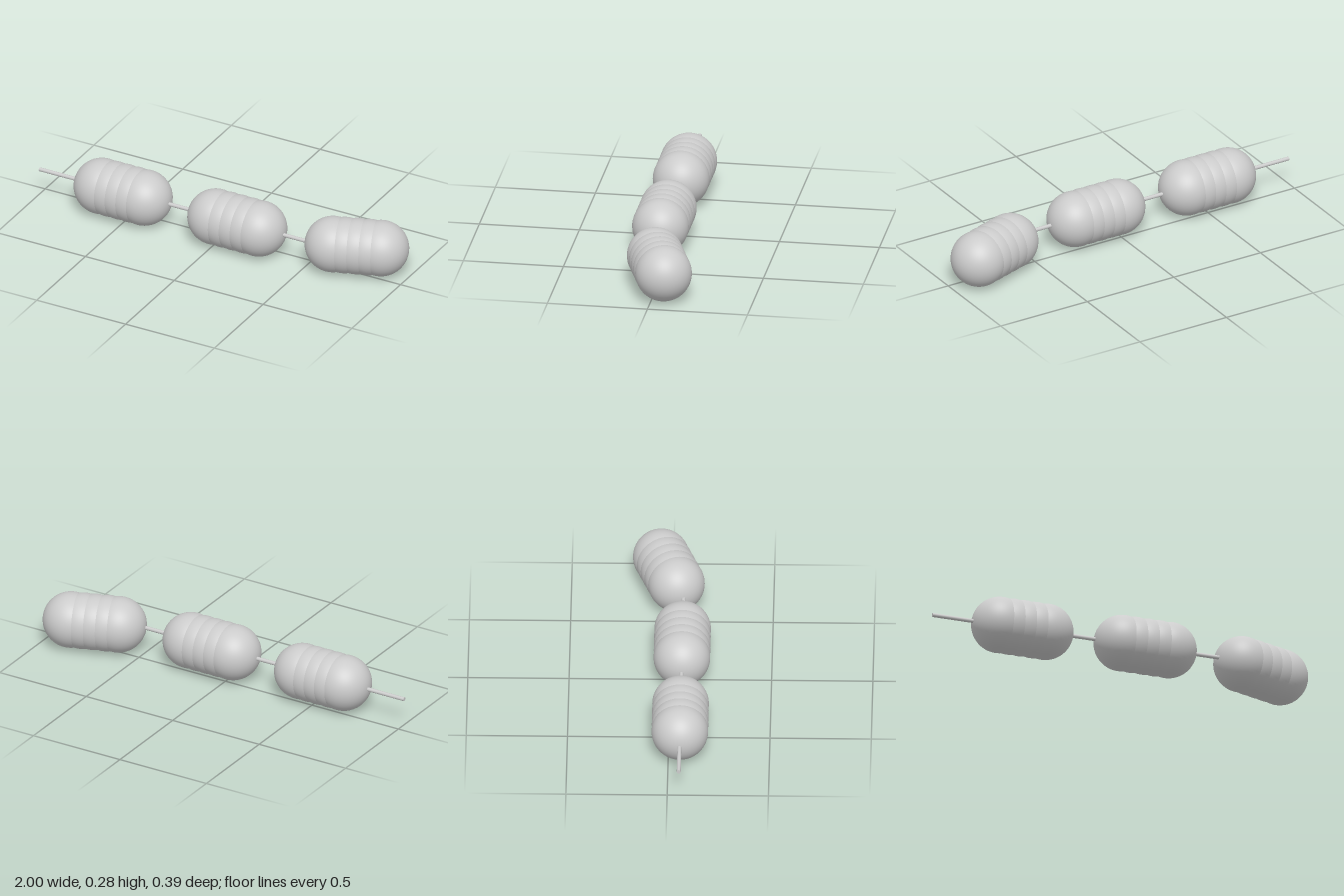
import * as THREE from 'three';

const R = 0.14; // sphere radius, also the height of the axis

export function createModel() {
  const model = new THREE.Group();
  const material = new THREE.MeshStandardMaterial({ color: 0xcccccc });
  const sphere = new THREE.SphereGeometry(R, 48, 32);

  // A ribbed bead: five overlapping spheres in a row
  function addBead(name, from, to) {
    const bead = new THREE.Group();
    bead.name = name;
    for (let i = 0; i < 5; i++) {
      const lobe = new THREE.Mesh(sphere, material);
      lobe.name = 'lobe' + (i + 1);
      lobe.position.lerpVectors(from, to, i / 4);
      bead.add(lobe);
    }
    model.add(bead);
  }
  const at = (x, z) => new THREE.Vector3(x, R, z);
  addBead('rightBead', at(-0.65, 0.057), at(-0.41, 0.057));
  addBead('middleBead', at(-0.01, 0.057), at(0.235, 0.057));
  addBead('leftBead', at(0.63, 0.02), at(0.858, -0.058)); // turned backwards

  // Thin rod threading the beads, ending inside the left bead
  const start = -1, end = 0.62;
  const rod = new THREE.Mesh(new THREE.CylinderGeometry(0.01, 0.01, end - start, 16), material);
  rod.name = 'rod';
  rod.rotation.z = Math.PI / 2;
  rod.position.set((start + end) / 2, R, 0.057);
  model.add(rod);

  return model;
}
